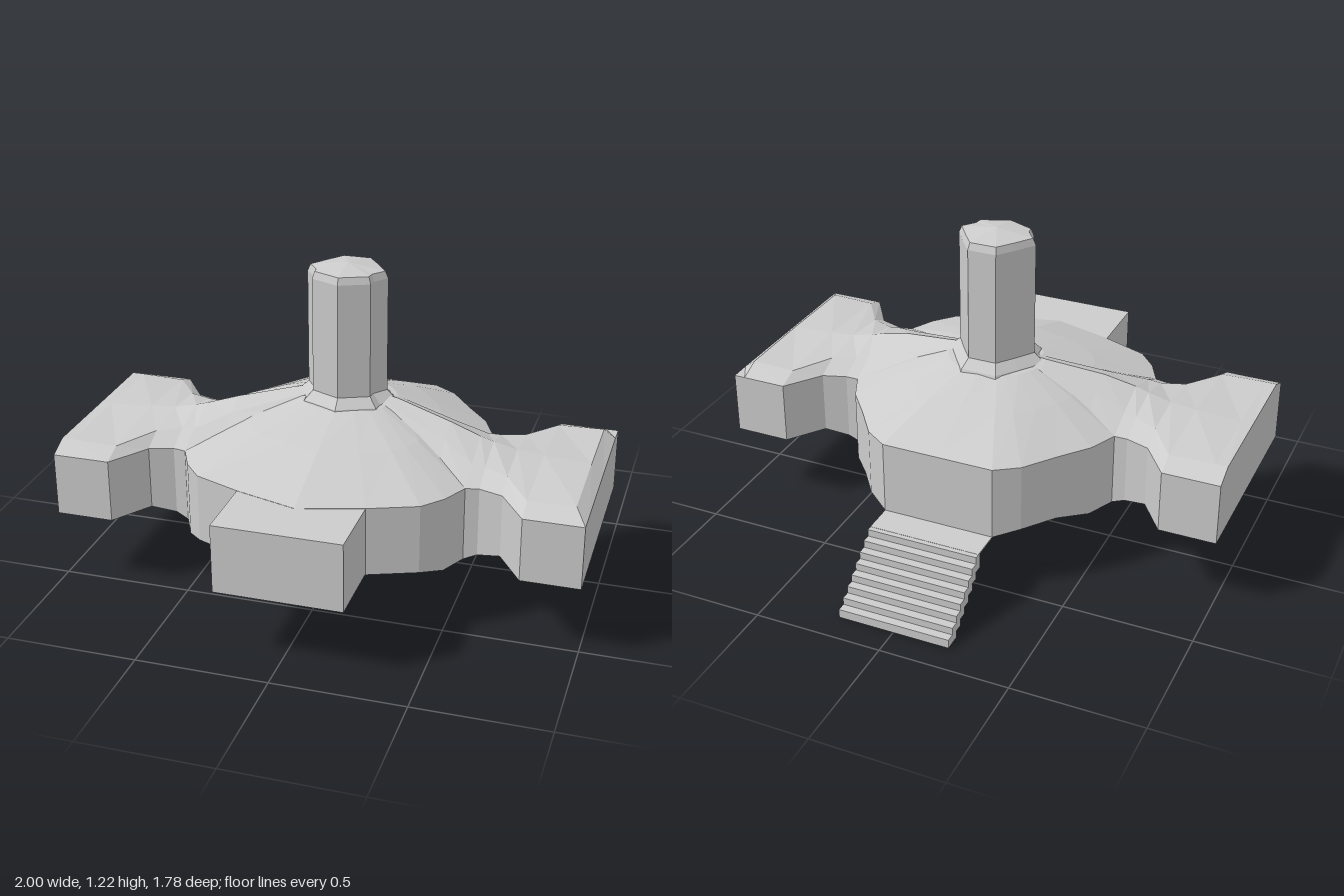
import * as THREE from 'three';

const CZ = 0.03; // z of the tower axis
const material = new THREE.MeshStandardMaterial({ color: 0xcccccc, flatShading: true, side: THREE.DoubleSide });

function addMesh(parent, name, geometry) {
  const mesh = new THREE.Mesh(geometry, material);
  mesh.name = name;
  parent.add(mesh);
  return mesh;
}

function box(parent, name, x0, x1, y0, y1, z0, z1) {
  const mesh = addMesh(parent, name, new THREE.BoxGeometry(x1 - x0, y1 - y0, z1 - z0));
  mesh.position.set((x0 + x1) / 2, (y0 + y1) / 2, (z0 + z1) / 2);
}

// Skin over closed rings of [x, y, z] points; empty triangles are dropped.
function loft(rings) {
  const pos = [];
  const tri = (...points) => {
    const [a, b, c] = points.map((p) => new THREE.Vector3(...p));
    const area = b.clone().sub(a).cross(c.clone().sub(a)).length();
    if (area > 1e-7) points.forEach((p) => pos.push(...p));
  };
  for (let i = 0; i + 1 < rings.length; i++) {
    const low = rings[i], high = rings[i + 1], n = low.length;
    for (let j = 0; j < n; j++) {
      const k = (j + 1) % n;
      tri(low[j], high[j], low[k]);
      tri(low[k], high[j], high[k]);
    }
  }
  const geometry = new THREE.BufferGeometry();
  geometry.setAttribute('position', new THREE.Float32BufferAttribute(pos, 3));
  geometry.computeVertexNormals();
  return geometry;
}

const point = (n, x, y, z) => Array.from({ length: n }, () => [x, y, z]);

// Closes a right-hand outline of [x, z] points by mirroring it to the left.
function mirrorOutline(half) {
  const left = half.filter(([x]) => x > 0).reverse().map(([x, z]) => [-x, z]);
  return [...half, ...left];
}

// Central hall: faceted walls, hipped floor and a roof rising to the tower
function hallGeometry() {
  const outline = mirrorOutline([
    [0, -0.51], [0.22, -0.51], [0.31, -0.45], [0.4, -0.33], [0.49, -0.22], [0.54, -0.11],
    [0.54, 0.37], [0.49, 0.47], [0.42, 0.55], [0.24, 0.62], [0, 0.69],
  ]);
  const n = outline.length;
  const floor = outline.map(([x, z]) => [x, 0.235, THREE.MathUtils.clamp(z, -0.22, 0.49)]);
  const rim = outline.map(([x, z]) => [x, z > 0.49 || (z < -0.22 && z > -0.5) ? 0.258 : 0.235, z]);
  const eaves = outline.map(([x, z]) => [x, 0.525, z]);
  const roofRing = (t, y) => outline.map(([x, z]) => {
    const angle = Math.atan2(z - CZ, x);
    return [
      THREE.MathUtils.lerp(x, 0.19 * Math.cos(angle), t), y,
      THREE.MathUtils.lerp(z, CZ + 0.17 * Math.sin(angle), t),
    ];
  });
  return loft([
    point(n, 0, 0.235, 0.13), floor, rim, eaves,
    roofRing(0.55, 0.62), roofRing(1, 0.685), point(n, 0, 0.7, CZ),
  ]);
}

// Side wing: x, back z, front z, bottom, edge, shoulder and ridge heights, shoulder inset
const WING = [
  [0.14, -0.05, 0.13, 0.45, 0.66, 0.69, 0.71, 0.04],
  [0.2, -0.06, 0.15, 0.4, 0.645, 0.68, 0.7, 0.05],
  [0.42, -0.1, 0.3, 0.3, 0.56, 0.62, 0.655, 0.11],
  [0.54, -0.11, 0.37, 0.235, 0.525, 0.575, 0.62, 0.1],
  [0.59, -0.11, 0.36, 0.255, 0.525, 0.57, 0.605, 0.09],
  [0.68, -0.14, 0.39, 0.28, 0.525, 0.565, 0.583, 0.08],
  [0.78, -0.28, 0.54, 0.28, 0.525, 0.555, 0.575, 0.08],
  [0.955, -0.28, 0.54, 0.28, 0.525, 0.56, 0.563, 0.08],
];

function wingGeometry(side) {
  // Only the left wing has a bevelled end edge.
  const tipHeight = side > 0 ? 0.527 : 0.56;
  const stations = [...WING, [1, -0.28, 0.54, 0.28, 0.525, tipHeight, tipHeight, 0.08]];
  const rings = stations.map(([x, zb, zf, bottom, edge, shoulder, ridge, inset]) => {
    const ring = [
      [zf, bottom], [zf, edge], [zf - inset, shoulder],
      [Math.min(0.12, (zb + zf) / 2), ridge],
      [zb + inset, shoulder], [zb, edge], [zb, bottom],
    ].map(([z, y]) => [side * x, y, z]);
    return side > 0 ? ring : ring.reverse();
  });
  return loft([...rings, point(7, side, 0.4, 0.13)]);
}

// Tower: flared collar, faceted shaft and shallow pointed cap
function towerGeometry() {
  const outline = mirrorOutline([
    [0, -0.14], [0.07, -0.14], [0.13, -0.06], [0.195, 0.035], [0.145, 0.1],
    [0.14, 0.14], [0.07, 0.17], [0, 0.2],
  ]);
  const ring = (s, y) => outline.map(([x, z]) => [x * s, y, CZ + (z - CZ) * s]);
  return loft([
    ring(1.1, 0.65), ring(1, 0.69), ring(0.8, 0.725), ring(0.8, 1.17),
    ring(0.74, 1.197), point(outline.length, 0, 1.217, CZ),
  ]);
}

export function createModel() {
  const model = new THREE.Group();
  model.name = 'building';

  addMesh(model, 'centralHall', hallGeometry());
  addMesh(model, 'leftWing', wingGeometry(1));
  addMesh(model, 'rightWing', wingGeometry(-1));
  addMesh(model, 'tower', towerGeometry());
  box(model, 'frontBlock', -0.24, 0.24, 0.26, 0.524, 0.5, 0.89);

  // Rear stairway: thin landing, then overlapping treads
  const stairs = new THREE.Group();
  stairs.name = 'rearStairs';
  model.add(stairs);
  box(stairs, 'landing', -0.22, 0.22, 0.23, 0.236, -0.63, -0.5);
  for (let i = 0; i < 8; i++) {
    const top = 0.235 - i * 0.0286;
    const end = -0.65 - i * 0.0343;
    box(stairs, 'tread', -0.22, 0.22, top - 0.035, top, end, end + (i ? 0.068 : 0.034));
  }
  return model;
}
